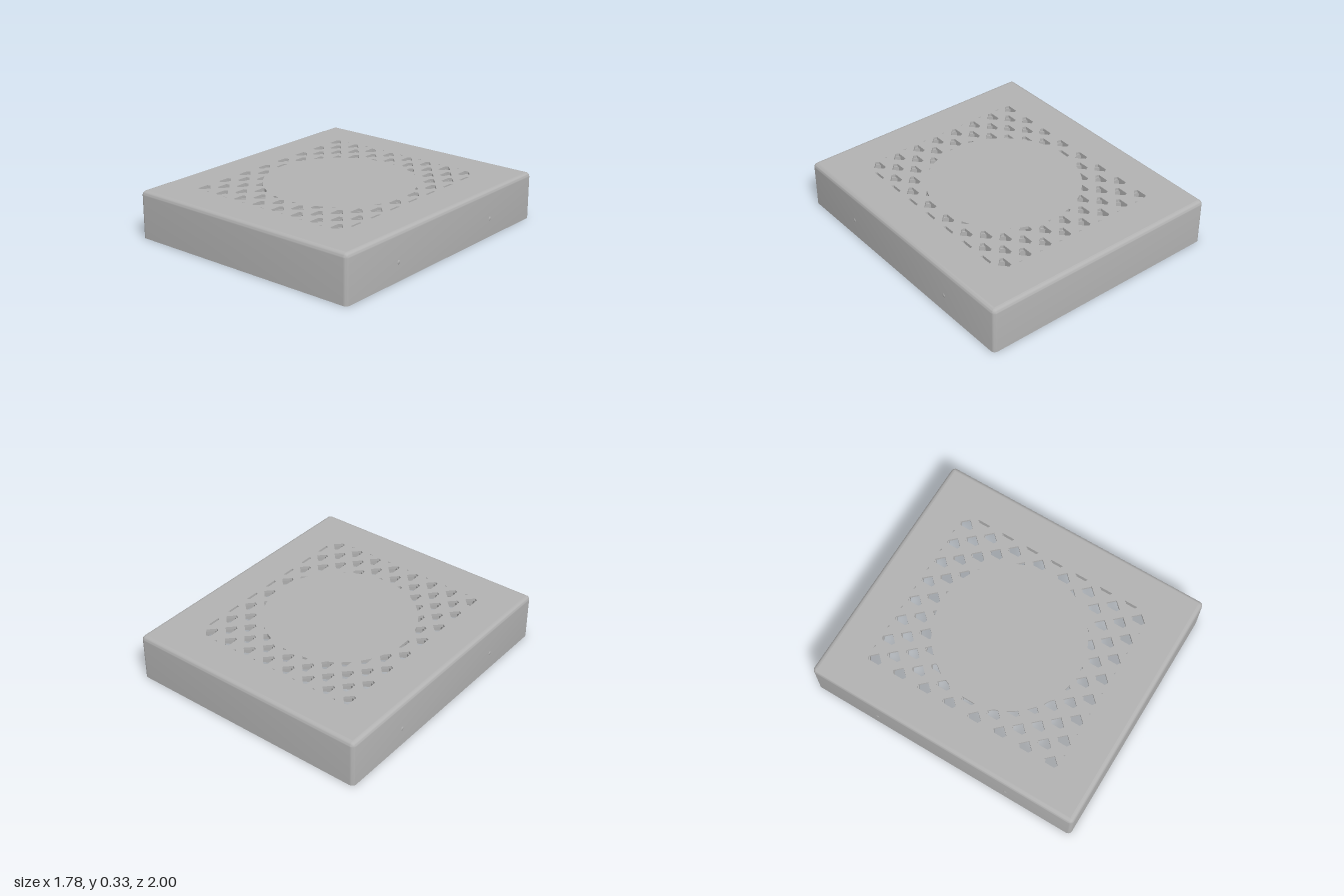
import * as THREE from 'three';
import { toCreasedNormals } from 'three/addons/utils/BufferGeometryUtils.js';

const HX = 0.887, HZ = 1, HEIGHT = 0.333;   // half width, half depth, height
const WALL = 0.025, FILLET = 0.03;
const CEILING = 0.268, SKIN = 0.313;        // undersides of the grille and of the top skin
const DISC = 0.525;                         // radius of the closed centre

// Rounded rectangle, inset from the outer edge, as [x, z] points
function outline(inset) {
  const r = Math.max(FILLET - inset, 0.004), pts = [];
  const x = HX - inset - r, z = HZ - inset - r;
  [[1, 1], [-1, 1], [-1, -1], [1, -1]].forEach(([sx, sy], q) => {
    for (let i = 0; i <= 6; i++) {
      const a = (q + i / 6) * Math.PI / 2;
      pts.push([sx * x + r * Math.cos(a), -(sy * z + r * Math.sin(a))]);
    }
  });
  return pts;
}

// Keeps the part of a polygon where nx * x + nz * z <= d
function clip(poly, nx, nz, d) {
  const out = [];
  poly.forEach((p, i) => {
    const q = poly[(i + 1) % poly.length];
    const a = nx * p[0] + nz * p[1] - d, b = nx * q[0] + nz * q[1] - d;
    if (a <= 0) out.push(p);
    if (a * b < 0) {
      const t = a / (a - b);
      out.push([p[0] + t * (q[0] - p[0]), p[1] + t * (q[1] - p[1])]);
    }
  });
  return out;
}

const toVectors = poly => poly.map(([x, z]) => new THREE.Vector2(x, -z));

// Staggered holes inside the rectangular vent field
function ventHoles(poly, offsetX, closedRadius) {
  const holes = [];
  for (let row = -8; row <= 8; row++) {
    const stagger = row % 2 === 0 ? 0.082 : 0;
    for (let col = 0; col < 8; col++) {
      const x = -0.628 + 0.1645 * col + stagger + offsetX, z = 0.097 * row;
      let p = poly.map(([px, pz]) => [px + x, pz + z]);
      p = clip(p, 1, 0, 0.622);
      p = clip(p, -1, 0, 0.632);
      p = clip(p, 0, 1, 0.735);
      p = clip(p, 0, -1, 0.735);
      if (closedRadius) {
        const cx = x + 0.03, len = Math.hypot(cx, z);
        p = clip(p, -cx / len, -z / len, -closedRadius);
      }
      if (p.length < 3) continue;
      const v = toVectors(p);
      if (Math.abs(THREE.ShapeUtils.area(v)) > 5e-5) holes.push(new THREE.Path(v));
    }
  }
  return holes;
}

// Horizontal plate with holes, between two heights
function plate(inset, holes, y0, y1) {
  const shape = new THREE.Shape(toVectors(outline(inset)));
  shape.holes = holes;
  const geo = new THREE.ExtrudeGeometry(shape, { depth: y1 - y0, bevelEnabled: false });
  return geo.rotateX(-Math.PI / 2).translate(0, y0, 0);
}

// Side walls with rim and filleted top edge, swept round the outline
function wallGeometry() {
  const profile = [[WALL, CEILING], [WALL, 0], [0, 0]];
  for (let i = 0; i <= 6; i++) {
    const a = i / 6 * Math.PI / 2;
    profile.push([FILLET * (1 - Math.cos(a)), HEIGHT - FILLET * (1 - Math.sin(a))]);
  }
  const pos = [], index = [];
  profile.forEach(([inset, y]) => outline(inset).forEach(([x, z]) => pos.push(x, y, z)));
  const n = outline(0).length;
  for (let j = 0; j < profile.length - 1; j++) {
    for (let i = 0; i < n; i++) {
      const k = (i + 1) % n, a = j * n + i, b = j * n + k;
      index.push(a, b, b + n, a, b + n, a + n);
    }
  }
  const geo = new THREE.BufferGeometry();
  geo.setAttribute('position', new THREE.Float32BufferAttribute(pos, 3));
  geo.setIndex(index);
  return toCreasedNormals(geo, 0.6);
}

export function createModel() {
  const group = new THREE.Group();
  group.name = 'ventedLid';
  const grey = new THREE.MeshStandardMaterial({ color: 0xb2b2b2 });
  grey.name = 'grey';
  const add = (name, geo) => {
    const mesh = new THREE.Mesh(geo, grey);
    mesh.name = name;
    group.add(mesh);
    return mesh;
  };

  add('sideWalls', wallGeometry());

  // Top skin with arrow-shaped openings around the closed disc
  const arrow = [[0, -0.04], [0.022, -0.05], [0.07, 0], [0.022, 0.05], [0, 0.04]];
  add('topSkin', plate(FILLET, ventHoles(arrow, 0, DISC), SKIN, HEIGHT));

  // Hexagonal grille under the skin
  const hex = [];
  for (let i = 0; i < 6; i++) {
    const a = (i + 0.5) * Math.PI / 3;
    hex.push([0.055 * Math.cos(a), 0.055 * Math.sin(a)]);
  }
  add('hexGrille', plate(WALL, ventHoles(hex, 0.043, 0), CEILING, SKIN));

  // Snap bumps on the inside of the long walls
  for (const sx of [-1, 1]) {
    for (const sz of [-1, 1]) {
      add('snapBump', new THREE.SphereGeometry(0.029, 20, 14)).position.set(sx * 0.862, 0.13, sz * 0.5);
    }
  }
  return group;
}
